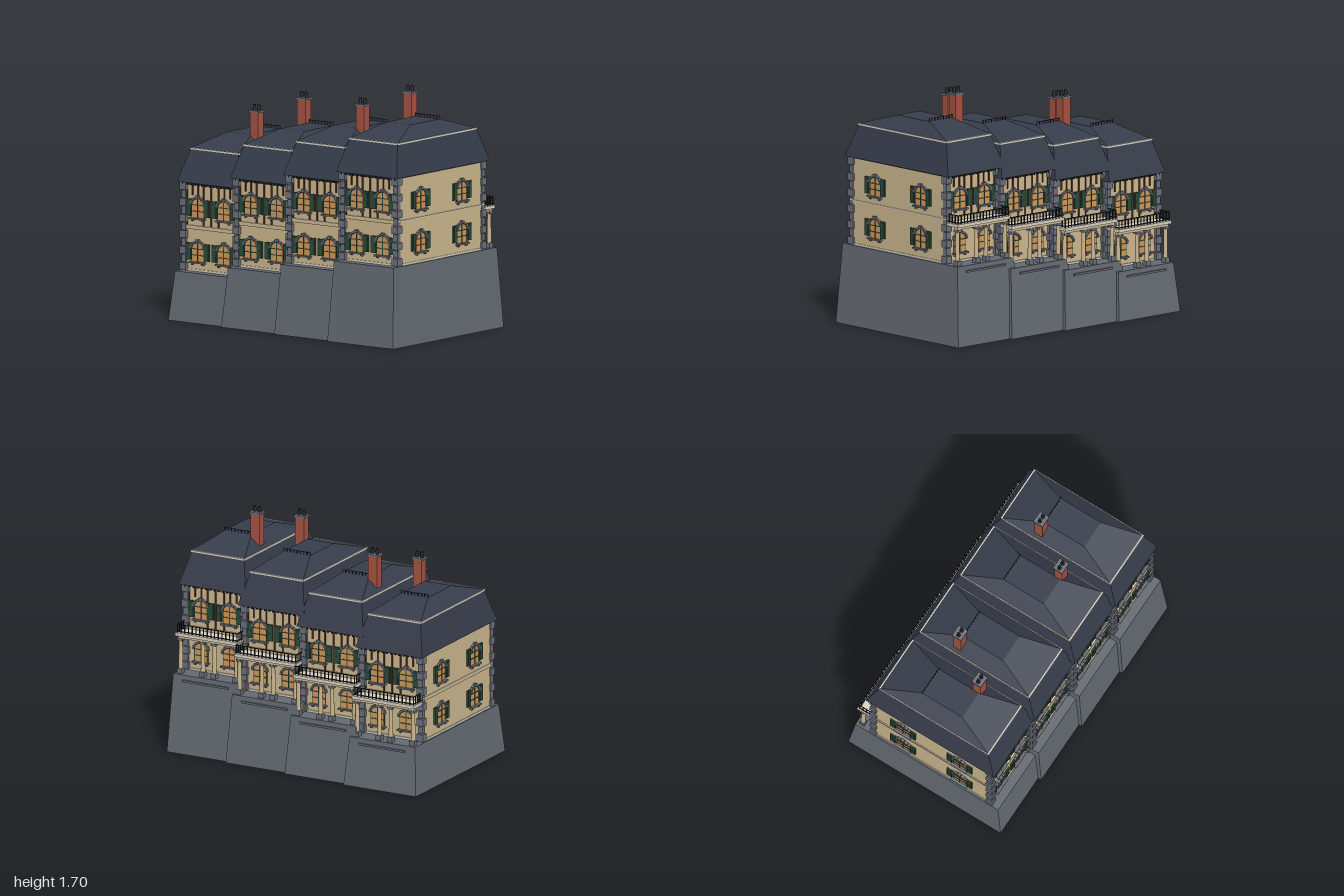
import * as THREE from 'three';

const mat = (name, color, extra = {}) => Object.assign(new THREE.MeshStandardMaterial({ color, ...extra }), { name });
const M = {
  stone: mat('plinth stone', 0x646a72),
  quoin: mat('dressed stone', 0x6a6f7b),
  wall: mat('plaster', 0xcbb68d),
  roof: mat('slate', 0x363c4a),
  trim: mat('cream trim', 0xd8d2c2),
  shutter: mat('green paint', 0x2a4a3a),
  glass: mat('lit glass', 0xd0975a),
  timber: mat('timber', 0x4a2f20),
  brick: mat('brick', 0xa25240),
  iron: mat('iron', 0x1d1f24),
};

function add(parent, name, geo, material, x = 0, y = 0, z = 0) {
  const m = new THREE.Mesh(geo, material);
  m.name = name;
  m.position.set(x, y, z);
  parent.add(m);
  return m;
}
const box = (p, name, material, w, h, d, x, y, z) =>
  add(p, name, new THREE.BoxGeometry(w, h, d), material, x, y, z);

// Tapered block standing on y = 0, from half sizes at bottom and top
function frustum(x0, z0, x1, z1, h) {
  const g = new THREE.BoxGeometry(2, h, 2).translate(0, h / 2, 0);
  const p = g.attributes.position;
  for (let i = 0; i < p.count; i++) {
    const top = p.getY(i) > h / 2;
    p.setX(i, p.getX(i) * (top ? x1 : x0));
    p.setZ(i, p.getZ(i) * (top ? z1 : z0));
  }
  g.computeVertexNormals();
  return g;
}

function archPlate(hw, straight, rise, depth) {
  const s = new THREE.Shape();
  s.moveTo(-hw, 0);
  s.lineTo(hw, 0);
  s.lineTo(hw, straight);
  s.absellipse(0, straight, hw, rise, 0, Math.PI, false);
  s.lineTo(-hw, 0);
  return new THREE.ExtrudeGeometry(s, { depth, bevelEnabled: false, curveSegments: 10 });
}
const frameGeo = archPlate(0.055, 0.09, 0.044, 0.005);
const paneGeo = archPlate(0.049, 0.09, 0.038, 0.008);

// Arched window facing +z, origin at the middle of its sill
function makeWindow(shutters) {
  const g = new THREE.Group();
  g.name = 'window';
  add(g, 'windowFrame', frameGeo, M.shutter);
  add(g, 'windowPane', paneGeo, M.glass);
  box(g, 'mullion', M.shutter, 0.006, 0.126, 0.006, 0, 0.063, 0.009);
  for (const y of [0.045, 0.088]) box(g, 'glazingBar', M.shutter, 0.098, 0.006, 0.006, 0, y, 0.009);
  // Stone arch of separate blocks with a keystone
  for (let k = 0; k < 7; k++) {
    const a = Math.PI * (k + 0.5) / 7, key = k === 3;
    const b = box(g, key ? 'keystone' : 'archStone', M.quoin, key ? 0.024 : 0.013, key ? 0.02 : 0.024,
      key ? 0.026 : 0.02, Math.cos(a) * 0.058, 0.09 + Math.sin(a) * 0.049, 0.008);
    if (key) b.position.y += 0.005; else b.rotation.z = a;
  }
  box(g, 'sill', M.quoin, 0.13, 0.011, 0.03, 0, -0.006, 0.012);
  for (const s of [-1, 1]) {
    box(g, 'sillBracket', M.quoin, 0.014, 0.014, 0.02, s * 0.045, -0.017, 0.008);
    if (!shutters) continue;
    box(g, 'shutter', M.shutter, 0.043, 0.118, 0.01, s * 0.081, 0.068, 0.008);
    for (const y of [0.04, 0.096]) box(g, 'shutterPanel', M.shutter, 0.03, 0.045, 0.004, s * 0.081, y, 0.014);
  }
  return g;
}

function placeWindow(parent, x, y, z, angle, shutters = true) {
  const w = makeWindow(shutters);
  w.position.set(x, y, z);
  w.rotation.y = angle;
  parent.add(w);
}

const WX = 0.241, ZF = 0.504, ZB = -0.441, ZC = (ZF + ZB) / 2, H = 0.62;
const LOW = 0.068, HIGH = 0.372;

// Window row and timber posts of a front or back wall; dir is +1 or -1
function facade(g, dir) {
  const z = dir > 0 ? ZF : ZB, angle = dir > 0 ? 0 : Math.PI;
  for (const x of [-0.113, 0.113]) {
    placeWindow(g, x, LOW, z, angle, dir > 0);
    placeWindow(g, x, HIGH, z, angle);
  }
  for (const x of [-0.21, -0.065, 0, 0.065, 0.21])
    box(g, 'timberPost', M.timber, 0.011, 0.3, 0.008, x, 0.465, z + dir * 0.003);
  for (const x of [-0.163, -0.113, 0.113, 0.163])
    box(g, 'shortPost', M.timber, 0.011, 0.09, 0.008, x, 0.572, z + dir * 0.003);
  for (let k = -7; k <= 7; k++)
    box(g, 'eaveBracket', M.iron, 0.009, 0.016, 0.028, k * 0.033, 0.605, z + dir * 0.014);
}

function makeRoof(g) {
  const zc = 0.028;
  add(g, 'mansardSlope', frustum(0.263, 0.521, 0.207, 0.442, 0.222), M.roof, 0, 0.615, zc);
  add(g, 'roofMoulding', frustum(0.213, 0.448, 0.213, 0.448, 0.012), M.trim, 0, 0.835, zc);
  add(g, 'upperRoof', frustum(0.209, 0.444, 0.105, 0.165, 0.085), M.roof, 0, 0.845, zc);
  // Iron cresting along the back of the flat top
  const z = zc - 0.16;
  box(g, 'crestingRail', M.iron, 0.21, 0.004, 0.004, 0, 0.949, z);
  for (let k = 0; k < 9; k++) box(g, 'crestingBar', M.iron, 0.004, 0.028, 0.004, (k - 4) * 0.026, 0.94, z);
}

function makeChimney(g, x, z) {
  const c = new THREE.Group();
  c.name = 'chimney';
  c.position.set(x, 0, z);
  g.add(c);
  box(c, 'chimneyStack', M.brick, 0.07, 0.29, 0.062, 0, 0.945, 0);
  box(c, 'chimneyCap', M.quoin, 0.086, 0.014, 0.075, 0, 1.095, 0);
  for (const s of [-1, 1])
    add(c, 'chimneyPot', new THREE.CylinderGeometry(0.01, 0.014, 0.042, 10), M.iron, s * 0.019, 1.12, 0);
}

function makePorch(g) {
  const z = -0.54;
  box(g, 'balconySlab', M.trim, 0.49, 0.022, 0.135, 0, 0.281, -0.507);
  box(g, 'porchBeam', M.wall, 0.47, 0.02, 0.028, 0, 0.26, z);
  for (const x of [-0.22, -0.045, 0.045, 0.22]) {
    box(g, 'columnBase', M.quoin, 0.04, 0.035, 0.04, x, 0.017, z);
    add(g, 'column', new THREE.CylinderGeometry(0.013, 0.016, 0.2, 12), M.wall, x, 0.135, z);
    box(g, 'columnCapital', M.quoin, 0.038, 0.016, 0.038, x, 0.242, z);
  }
  // Balcony railing: front run and two returns
  for (const y of [0.302, 0.352]) {
    box(g, 'railing', M.iron, 0.47, 0.006, 0.006, 0, y, -0.562);
    for (const s of [-1, 1]) box(g, 'sideRailing', M.iron, 0.006, 0.006, 0.115, s * 0.235, y, -0.505);
  }
  for (let k = 0; k < 17; k++) box(g, 'baluster', M.iron, 0.006, 0.06, 0.006, (k - 8) * 0.0293, 0.322, -0.562);
  for (const s of [-1, 1]) for (let k = 1; k < 4; k++)
    box(g, 'baluster', M.iron, 0.006, 0.06, 0.006, s * 0.235, 0.322, -0.562 + k * 0.029);
}

function makeHouse(i) {
  const g = new THREE.Group();
  g.name = 'house';
  const base = 0.34 + i * 0.0717;
  g.position.set((i - 1.5) * 0.477, base, (i - 1.5) * 0.024);

  add(g, 'plinth', frustum(0.285, 0.619, 0.257, 0.58, base), M.stone, 0, -base, 0);
  box(g, 'plinthLedge', M.stone, 0.36, 0.014, 0.03, 0, -0.04, -0.58);

  box(g, 'walls', M.wall, WX * 2, H, ZF - ZB, 0, H / 2, ZC);
  box(g, 'footCourse', M.trim, WX * 2 + 0.012, 0.014, ZF - ZB + 0.016, 0, 0.007, ZC);
  box(g, 'beltCourse', M.wall, WX * 2 + 0.01, 0.02, ZF - ZB + 0.02, 0, 0.3, ZC);
  box(g, 'beltMoulding', M.trim, WX * 2 + 0.014, 0.006, ZF - ZB + 0.026, 0, 0.313, ZC);
  box(g, 'cornice', M.quoin, WX * 2 + 0.016, 0.012, ZF - ZB + 0.04, 0, 0.613, ZC);

  // Corner stones, alternately long and short
  for (const sx of [-1, 1]) for (const z of [ZF, ZB]) for (let k = 0; k < 11; k++) {
    const s = k % 2 ? 0.036 : 0.052;
    box(g, 'cornerStone', M.quoin, s, 0.05, s, sx * (WX - 0.012), 0.03 + k * 0.0555, z);
  }

  facade(g, 1);
  facade(g, -1);
  // End walls of the terrace
  const side = i === 0 ? -1 : i === 3 ? 1 : 0;
  if (side) for (const z of [ZC - 0.23, ZC + 0.23]) for (const y of [LOW + 0.01, HIGH])
    placeWindow(g, side * WX, y, z, side * Math.PI / 2);

  makeRoof(g);
  if (i % 2) makeChimney(g, -0.148, -0.13);
  else makeChimney(g, 0.138, 0.177);
  makePorch(g);
  return g;
}

export function createModel() {
  const model = new THREE.Group();
  model.name = 'terraceOfHouses';
  for (let i = 0; i < 4; i++) model.add(makeHouse(i));
  return model;
}
